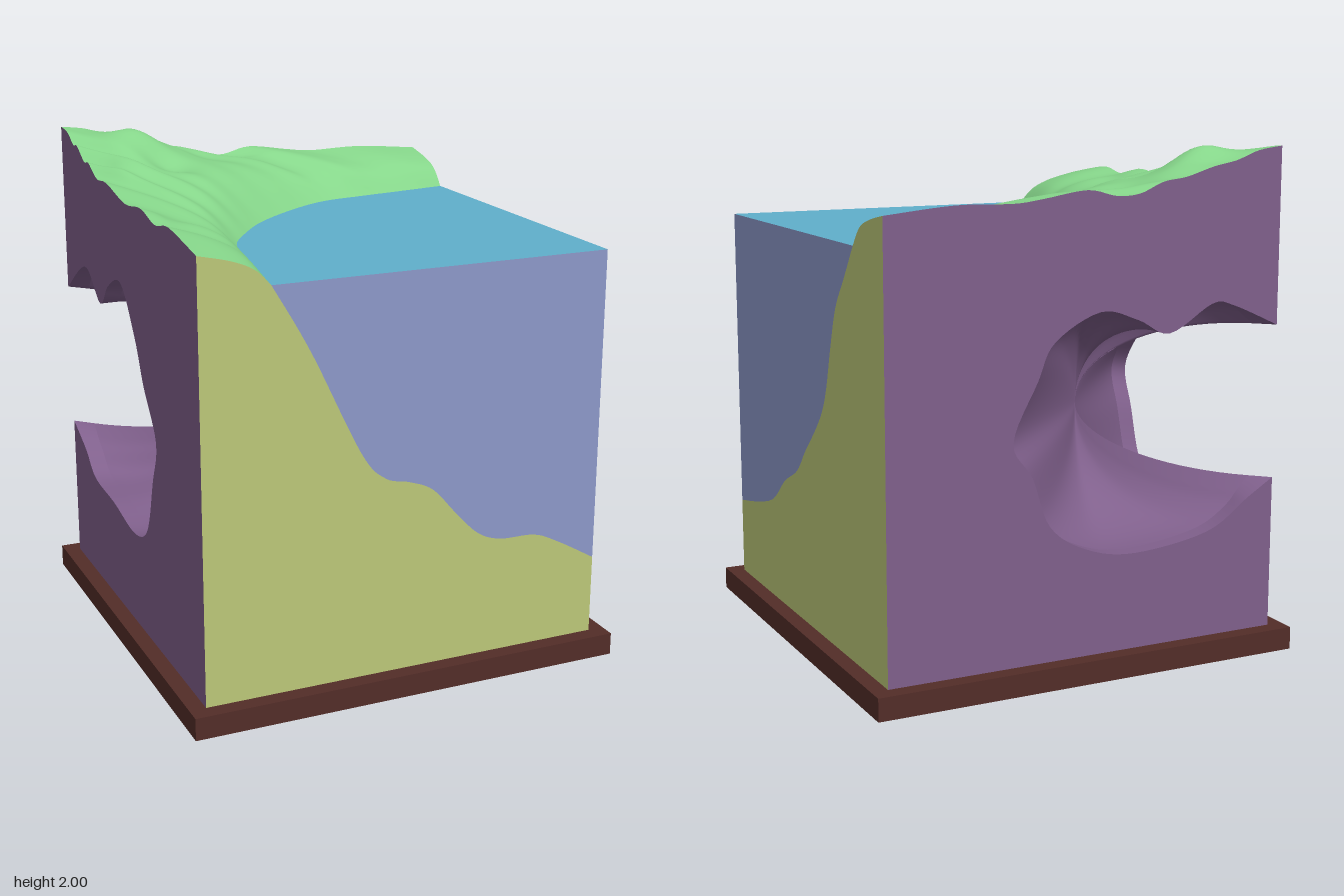
import * as THREE from 'three';

const W = 0.825, FLOOR = 0.09, SEA = 1.67;
const COLORS = { sand: 0xbcc878, deep: 0x8c98c9, water: 0x60b0cc, grass: 0x86d68a, rock: 0x80608c, wood: 0x532d28 };

// Smooth curve through [u, v] pairs, as Vector2 samples
const smooth = (pairs, n) =>
  new THREE.SplineCurve(pairs.map(([u, v]) => new THREE.Vector2(u, v))).getPoints(n);

const material = (color) => new THREE.MeshStandardMaterial({ color, side: THREE.DoubleSide });

function addMesh(group, name, geometry, color) {
  const mesh = new THREE.Mesh(geometry, material(color));
  mesh.name = name;
  group.add(mesh);
}

// Flat panel from a 2D outline, placed in space by a rule (u, v) => [x, y, z]
function addPanel(group, name, color, outline, place) {
  const g = new THREE.ShapeGeometry(new THREE.Shape(outline));
  const p = g.attributes.position;
  for (let i = 0; i < p.count; i++) p.setXYZ(i, ...place(p.getX(i), p.getY(i)));
  g.computeVertexNormals();
  addMesh(group, name, g, color);
}

// Smooth surface through rows of Vector3
function loft(rows) {
  const n = rows[0].length, index = [];
  for (let r = 0; r < rows.length - 1; r++)
    for (let i = 0; i < n - 1; i++) {
      const a = r * n + i, b = a + n;
      index.push(a, a + 1, b, a + 1, b + 1, b);
    }
  const g = new THREE.BufferGeometry().setFromPoints(rows.flat());
  g.setIndex(index);
  g.computeVertexNormals();
  return g;
}

const v2 = (x, y) => new THREE.Vector2(x, y);
const onFront = (u, v) => [u, v, W];
const onRight = (u, v) => [W, v, u];
const onBack = (u, v) => [u, v, -W];
const onLeft = (u, v) => [-W, v, u];

export function createModel() {
  const group = new THREE.Group();

  // Wooden base
  const base = new THREE.BoxGeometry(1.78, FLOOR, 1.78).translate(0, FLOOR / 2, 0);
  addMesh(group, 'base', base, COLORS.wood);

  // Sea bed sections: bank above the water line, then slope below it
  const sections = [
    ['front', onFront, -1,
      [[-W, 1.8], [-0.7, 1.77], [-0.61, 1.73], [-0.55, SEA]],
      [[-0.55, SEA], [-0.4, 1.41], [-0.2, 1.0], [-0.1, 0.885], [0, 0.855], [0.1, 0.81], [0.2, 0.7], [0.3, 0.6],
        [0.4, 0.56], [0.55, 0.552], [0.66, 0.505], [W, 0.41]]],
    ['side', onRight, -1,
      [[-W, 1.8], [-0.7, 1.775], [-0.61, 1.74], [-0.545, SEA]],
      [[-0.545, SEA], [-0.45, 1.54], [-0.36, 1.42], [-0.3, 1.26], [-0.25, 1.1], [-0.2, 1.0], [-0.12, 0.91], [0, 0.8],
        [0.1, 0.7], [0.25, 0.625], [0.4, 0.515], [0.6, 0.455], [W, 0.41]]],
  ];
  const banks = [];
  for (const [name, place, , bank, slope] of sections) {
    const top = smooth(bank, 16), bed = smooth(slope, 72);
    banks.push(top);
    addPanel(group, name + 'Sand', COLORS.sand, [v2(-W, FLOOR), ...top, ...bed.slice(1), v2(W, FLOOR)], place);
    addPanel(group, name + 'Water', COLORS.deep, [...bed, v2(W, SEA)], place);
  }

  // Water surface, bounded by the shoreline
  const shore = smooth([[-0.55, W], [-0.51, 0.6], [-0.47, 0.38], [-0.43, 0.18], [-0.32, 0], [-0.19, -0.16],
    [0, -0.32], [0.2, -0.44], [0.4, -0.48], [0.6, -0.51], [W, -0.545]], 120);
  addPanel(group, 'waterSurface', COLORS.water, [...shore, v2(W, W)], (x, z) => [x, SEA, z]);

  // Upper edges of the land along the left and back walls
  const leftTop = smooth([[W, 1.8], [0.6, 1.835], [0.5, 1.84], [0.38, 1.82], [0.22, 1.85], [0.03, 1.832],
    [-0.2, 1.87], [-0.33, 1.865], [-0.44, 1.91], [-0.5, 1.905], [-0.6, 1.955], [-0.65, 1.95], [-0.73, 1.99], [-W, 2]], 60);
  const backTop = smooth([[-W, 2], [-0.72, 1.985], [-0.62, 1.95], [-0.52, 1.93], [-0.4, 1.895], [-0.3, 1.88],
    [-0.2, 1.84], [-0.1, 1.835], [0.02, 1.86], [0.2, 1.835], [0.32, 1.822], [0.55, 1.825], [W, 1.8]], 60);
  const rim = [
    ...leftTop.map((p) => new THREE.Vector3(-W, p.y, p.x)),
    ...backTop.slice(1).map((p) => new THREE.Vector3(p.x, p.y, -W)),
  ];

  // Grassy land rising from the shoreline to the upper edges, with a hill, a hollow and small knolls
  const bumps = [[-0.55, -0.66, 0.05, 0.13], [-0.48, -0.46, -0.06, 0.12], [-0.7, -0.35, 0.02, 0.1],
    [-0.72, 0.28, -0.015, 0.08], [0.02, -0.7, 0.015, 0.1], [-0.25, -0.65, -0.02, 0.1]];
  const STEPS = 32, rows = [];
  const bankHeight = (bank, t) => {
    const u = bank[16].x + (-W - bank[16].x) * t;
    let k = 15;
    while (k > 0 && bank[k].x > u) k--;
    const a = bank[k], b = bank[k + 1];
    return (a.y + (b.y - a.y) * (u - a.x) / (b.x - a.x) - SEA) / (1.8 - SEA);
  };
  for (let r = 0; r <= STEPS; r++) {
    const t = r / STEPS;
    const rise = [bankHeight(banks[0], t), bankHeight(banks[1], t)];
    rows.push(rim.map((edge, i) => {
      const s = i / 120;
      const x = THREE.MathUtils.lerp(shore[i].x, edge.x, t);
      const z = THREE.MathUtils.lerp(shore[i].y, edge.z, t);
      let y = SEA + (edge.y - SEA) * THREE.MathUtils.lerp(rise[0], rise[1], s);
      const fade = Math.min(1, 4 * t, 4 * (1 - t)) * Math.min(1, 12 * s, 12 * (1 - s));
      for (const [bx, bz, h, w] of bumps)
        y += fade * h * Math.exp(-((x - bx) ** 2 + (z - bz) ** 2) / (w * w));
      return new THREE.Vector3(x, y, z);
    }));
  }
  addMesh(group, 'land', loft(rows), COLORS.grass);

  // Cave mouth on the two rock walls, both running from the corner's lower to its upper end
  const backMouth = smooth([[-W, 0.7], [-0.71, 0.63], [-0.525, 0.515], [-0.2, 0.47], [0.01, 0.51], [0.165, 0.615],
    [0.24, 0.81], [0.32, 0.95], [0.22, 1.17], [0.15, 1.31], [-0.04, 1.41], [-0.2, 1.37], [-0.34, 1.31],
    [-0.525, 1.41], [-0.62, 1.4], [-W, 1.31]], 90);
  const leftMouth = smooth([[-W, 0.7], [-0.65, 0.62], [-0.52, 0.535], [-0.255, 0.515], [0.01, 0.48], [0.18, 0.55],
    [0.27, 0.785], [0.325, 0.965], [0.19, 1.155], [0.1, 1.32], [-0.06, 1.5], [-0.23, 1.45], [-0.35, 1.35],
    [-0.545, 1.46], [-W, 1.31]], 90);
  const walls = [
    ['backWall', backMouth, backTop, onBack],
    ['leftWall', leftMouth, [...leftTop].reverse(), onLeft],
  ];
  for (const [name, mouth, top, place] of walls)
    addPanel(group, name, COLORS.rock, [v2(W, FLOOR), v2(-W, FLOOR), ...mouth, ...top], place);

  // Cave: a short lip, then a bowl closing on its deepest point
  const loop = [
    ...backMouth.map((p) => new THREE.Vector3(...onBack(p.x, p.y))),
    ...[...leftMouth].reverse().slice(1).map((p) => new THREE.Vector3(...onLeft(p.x, p.y))),
  ];
  const inward = (d) => 0.07 * Math.max(0, 1 - d / 0.15);
  const lip = loop.map((p) => new THREE.Vector3(p.x + inward(p.x + W), p.y, p.z + inward(p.z + W)));
  const deepest = new THREE.Vector3(-0.25, 0.95, -0.25);
  const rings = [];
  for (let k = 0; k <= 20; k++) {
    const a = (k / 20) * Math.PI / 2, h = Math.sin(a), v = 1 - Math.cos(a);
    rings.push(lip.map((p) => new THREE.Vector3(
      THREE.MathUtils.lerp(p.x, deepest.x, h),
      THREE.MathUtils.lerp(p.y, deepest.y, v),
      THREE.MathUtils.lerp(p.z, deepest.z, h))));
  }
  addMesh(group, 'caveLip', loft([loop, lip]), COLORS.rock);
  addMesh(group, 'cave', loft(rings), COLORS.rock);

  return group;
}
